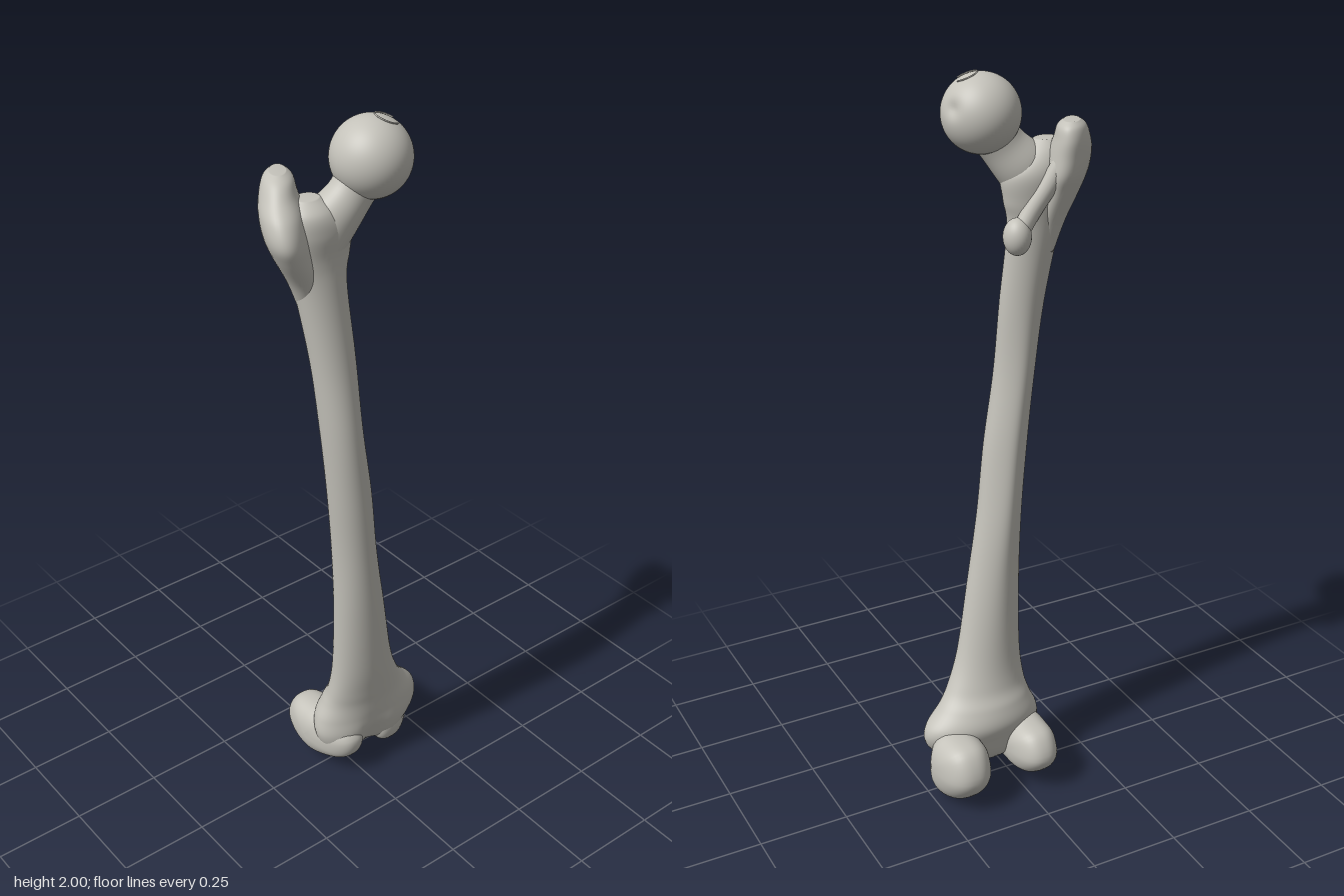
import * as THREE from 'three';

const SIDES = 48;
const gauss = (d, w) => Math.exp(-(d * d) / (w * w));

// Catmull-Rom interpolation of every column of a table of key sections
function smooth(rows, steps) {
  const out = [];
  for (let i = 0; i < rows.length - 1; i++) {
    const a = rows[Math.max(i - 1, 0)], b = rows[i], c = rows[i + 1];
    const d = rows[Math.min(i + 2, rows.length - 1)];
    for (let k = 0; k < steps; k++) {
      const t = k / steps, t2 = t * t, t3 = t2 * t;
      out.push(b.map((_, j) => 0.5 * (2 * b[j] + (c[j] - a[j]) * t
        + (2 * a[j] - 5 * b[j] + 4 * c[j] - d[j]) * t2
        + (3 * b[j] - a[j] - 3 * c[j] + d[j]) * t3)));
    }
  }
  out.push(rows[rows.length - 1]);
  return out;
}

// Skin a list of closed rings, cap both ends and face the surface outward
function loft(rings) {
  const n = rings[0].length, pts = rings.flat(), index = [];
  rings.slice(1).forEach((_, r) => {
    for (let i = 0; i < n; i++) {
      const j = (i + 1) % n, a = r * n + i, b = r * n + j;
      index.push(a, b, a + n, b, b + n, a + n);
    }
  });
  [0, rings.length - 1].forEach((r) => {
    const mid = new THREE.Vector3();
    rings[r].forEach((p) => mid.addScaledVector(p, 1 / n));
    const m = pts.push(mid) - 1;
    for (let i = 0; i < n; i++) {
      const a = r * n + i, b = r * n + (i + 1) % n;
      if (r === 0) index.push(m, b, a); else index.push(m, a, b);
    }
  });
  let volume = 0;
  const cross = new THREE.Vector3();
  for (let i = 0; i < index.length; i += 3) {
    volume += pts[index[i]].dot(cross.crossVectors(pts[index[i + 1]], pts[index[i + 2]]));
  }
  if (volume < 0) index.reverse();
  const geo = new THREE.BufferGeometry().setFromPoints(pts);
  geo.setIndex(index);
  geo.computeVertexNormals();
  return geo;
}

const ring = (fn) => Array.from({ length: SIDES }, (_, i) => {
  const a = (i / SIDES) * Math.PI * 2;
  return fn(Math.cos(a), Math.sin(a));
});

// Shaft with flared ends: y, x min, x max, z min, z max
function shaftGeometry() {
  const keys = [
    [0.055, 0.0, 0.10, 0.0, 0.05], [0.07, -0.05, 0.16, -0.02, 0.08],
    [0.10, -0.085, 0.20, -0.045, 0.10], [0.15, -0.105, 0.24, -0.06, 0.107],
    [0.20, -0.10, 0.24, -0.07, 0.105], [0.25, -0.08, 0.195, -0.055, 0.105],
    [0.30, -0.07, 0.16, -0.03, 0.11], [0.40, -0.065, 0.12, -0.01, 0.12],
    [0.60, -0.07, 0.08, 0.005, 0.13], [0.80, -0.08, 0.045, 0.01, 0.135],
    [1.00, -0.10, 0.02, 0.017, 0.14], [1.20, -0.12, -0.01, 0.017, 0.138],
    [1.40, -0.14, -0.02, 0.008, 0.12], [1.60, -0.17, -0.03, -0.015, 0.10],
    [1.68, -0.19, -0.015, -0.025, 0.097], [1.75, -0.20, -0.01, -0.03, 0.105],
    [1.80, -0.19, -0.06, -0.015, 0.095], [1.83, -0.16, -0.10, 0.01, 0.06],
  ];
  return loft(smooth(keys, 8).map(([y, x0, x1, z0, z1]) => ring((c, s) => {
    // narrow the back into a long ridge, hollow the front of the knee end
    const ridge = 1 - 0.3 * Math.max(0, -s) ** 2 * gauss(y - 1.0, 0.5);
    const x = (x0 + x1) / 2 + (x1 - x0) / 2 * c * ridge;
    const groove = s > 0 ? 0.03 * s * gauss(x - 0.045, 0.045) * gauss(y - 0.08, 0.09) : 0;
    return new THREE.Vector3(x, y, (z0 + z1) / 2 + (z1 - z0) / 2 * s - groove);
  })));
}

// Neck: centre x, y, z, half width, half depth
function neckGeometry() {
  const keys = [
    [-0.13, 1.66, 0.045, 0.06, 0.045], [-0.07, 1.76, 0.048, 0.07, 0.06],
    [-0.015, 1.825, 0.06, 0.06, 0.052], [0.03, 1.90, 0.07, 0.068, 0.06],
  ];
  return loft(smooth(keys, 8).map(([x, y, z, w, d]) => ring((c, s) =>
    new THREE.Vector3(x + 0.84 * w * c, y - 0.55 * w * c, z + d * s))));
}

// Large outer bump: y, centre x, centre z, long radius, short radius
function trochanterGeometry() {
  const keys = [
    [1.54, -0.125, 0.03, 0.03, 0.025], [1.62, -0.14, 0.03, 0.055, 0.04],
    [1.70, -0.168, 0.025, 0.09, 0.05], [1.75, -0.18, 0.018, 0.108, 0.055],
    [1.80, -0.182, 0.005, 0.10, 0.054], [1.84, -0.175, -0.015, 0.08, 0.045],
    [1.87, -0.168, -0.025, 0.06, 0.036], [1.885, -0.165, -0.03, 0.035, 0.02],
  ];
  return loft(smooth(keys, 6).map(([y, x, z, l, w]) => ring((c, s) =>
    new THREE.Vector3(x + 0.57 * l * c + 0.82 * w * s, y, z - 0.82 * l * c + 0.57 * w * s))));
}

// Rounded wheel-like knuckle: side profile (z, y) swept across x
function condyleGeometry(profile, x0, x1, slant) {
  const curve = new THREE.CatmullRomCurve3(
    profile.map(([z, y]) => new THREE.Vector3(0, y, z)), true);
  const outline = curve.getPoints(SIDES).slice(0, SIDES);
  const centre = new THREE.Vector3(0, 0.11, -0.04);
  const rings = [];
  for (let i = 0; i <= 28; i++) {
    const t = -Math.cos((i / 28) * Math.PI);
    const scale = Math.max(0.02, (1 - Math.abs(t) ** 2.4) ** (1 / 2.4));
    rings.push(outline.map((p) => {
      const q = centre.clone().lerp(p, scale);
      q.x = (x0 + x1) / 2 + (x1 - x0) / 2 * t + slant * Math.max(0, q.z + 0.03);
      return q;
    }));
  }
  return loft(rings);
}

// Ball with a small pit on its inner side
function headGeometry() {
  const geo = new THREE.SphereGeometry(0.1, 64, 48);
  const pos = geo.attributes.position, p = new THREE.Vector3();
  const pit = new THREE.Vector3(0.093, 0.025, -0.027);
  for (let i = 0; i < pos.count; i++) {
    p.fromBufferAttribute(pos, i);
    p.multiplyScalar(1 - 0.1 * gauss(p.distanceTo(pit), 0.02));
    pos.setXYZ(i, p.x, p.y, p.z);
  }
  geo.computeVertexNormals();
  return geo;
}

export function createModel() {
  const bone = new THREE.MeshStandardMaterial({ color: 0xc4c2ba });
  bone.name = 'bone';
  const model = new THREE.Group();
  model.name = 'thighBone';
  const add = (name, geo, x = 0, y = 0, z = 0) => {
    const mesh = new THREE.Mesh(geo, bone);
    mesh.name = name;
    mesh.position.set(x, y, z);
    model.add(mesh);
    return mesh;
  };

  add('shaft', shaftGeometry());

  // Hip end
  add('neck', neckGeometry());
  add('head', headGeometry(), 0.032, 1.9, 0.07);
  const rim = add('headRim', new THREE.TorusGeometry(0.03, 0.002, 8, 40, 4.8), 0.065, 1.99, 0.085);
  rim.quaternion.setFromUnitVectors(new THREE.Vector3(0, 0, 1),
    new THREE.Vector3(0.033, 0.09, 0.015).normalize());
  add('greaterTrochanter', trochanterGeometry());
  const lesser = add('lesserTrochanter', new THREE.SphereGeometry(1, 32, 24), -0.027, 1.6, -0.008);
  lesser.scale.set(0.036, 0.048, 0.038);
  const crest = new THREE.CatmullRomCurve3([[-0.14, 1.8, -0.045], [-0.105, 1.73, -0.03],
    [-0.065, 1.66, -0.012], [-0.03, 1.6, -0.005]].map((p) => new THREE.Vector3(...p)));
  add('trochanterCrest', new THREE.TubeGeometry(crest, 24, 0.024, 16));

  // Knee end
  add('innerCondyle', condyleGeometry([[0.09, 0.13], [0.083, 0.06], [0.03, 0.022],
    [-0.045, 0.008], [-0.125, 0.045], [-0.168, 0.11], [-0.135, 0.19], [-0.06, 0.205],
    [0.03, 0.195]], 0.1, 0.255, -0.5));
  add('outerCondyle', condyleGeometry([[0.1, 0.14], [0.09, 0.08], [0.03, 0.045],
    [-0.045, 0.033], [-0.12, 0.055], [-0.162, 0.11], [-0.13, 0.175], [-0.06, 0.19],
    [0.03, 0.19]], -0.11, 0.025, 0.12));

  return model;
}
